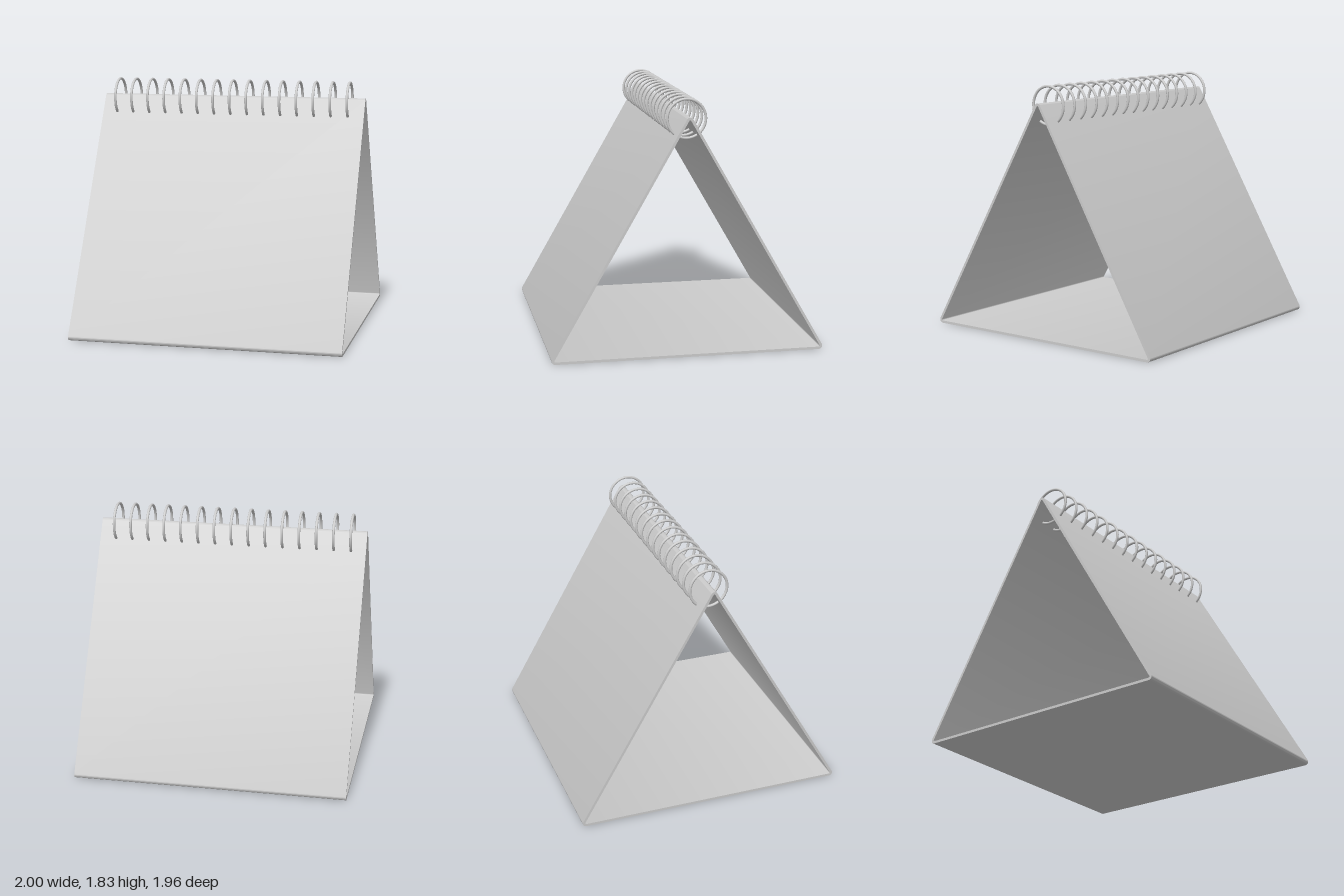
import * as THREE from 'three';
import { toCreasedNormals } from 'three/addons/utils/BufferGeometryUtils.js';

const WIDTH = 2, HALF_DEPTH = 0.98, HEIGHT = 1.71;
const CORNER = 0.025, WALL = 0.018;

// Traces a triangle with rounded corners around three fixed corner centres
function traceTriangle(path, radius) {
  const z = HALF_DEPTH - CORNER;
  const centres = [[z, CORNER], [0, HEIGHT - CORNER], [-z, CORNER]];
  centres.forEach(([cx, cy], i) => {
    const start = -Math.PI / 2 + i * Math.PI * 2 / 3;
    path.absarc(cx, cy, radius, start, start + Math.PI * 2 / 3, false);
  });
  path.closePath();
  return path;
}

export function createModel() {
  const model = new THREE.Group();
  model.name = 'deskCalendar';
  const material = new THREE.MeshStandardMaterial({ color: 0xcccccc });

  // Folded card stand: a thin triangular sleeve, open at both ends
  const profile = traceTriangle(new THREE.Shape(), CORNER);
  profile.holes.push(traceTriangle(new THREE.Path(), CORNER - WALL));
  const sleeve = new THREE.ExtrudeGeometry(profile, {
    depth: WIDTH, bevelEnabled: false, curveSegments: 10,
  });
  sleeve.translate(0, 0, -WIDTH / 2).rotateY(Math.PI / 2);
  const stand = new THREE.Mesh(toCreasedNormals(sleeve, 0.6), material);
  stand.name = 'stand';
  model.add(stand);

  // Row of binding rings around the top fold
  const rings = new THREE.Group();
  rings.name = 'bindingRings';
  const ringGeometry = new THREE.TorusGeometry(0.137, 0.01, 12, 48).rotateY(Math.PI / 2);
  const count = 15, first = -0.89, last = 0.88;
  for (let i = 0; i < count; i++) {
    const ring = new THREE.Mesh(ringGeometry, material);
    ring.name = `bindingRing${i + 1}`;
    ring.position.set(first + (last - first) * i / (count - 1), 1.687, 0);
    rings.add(ring);
  }
  model.add(rings);
  return model;
}
